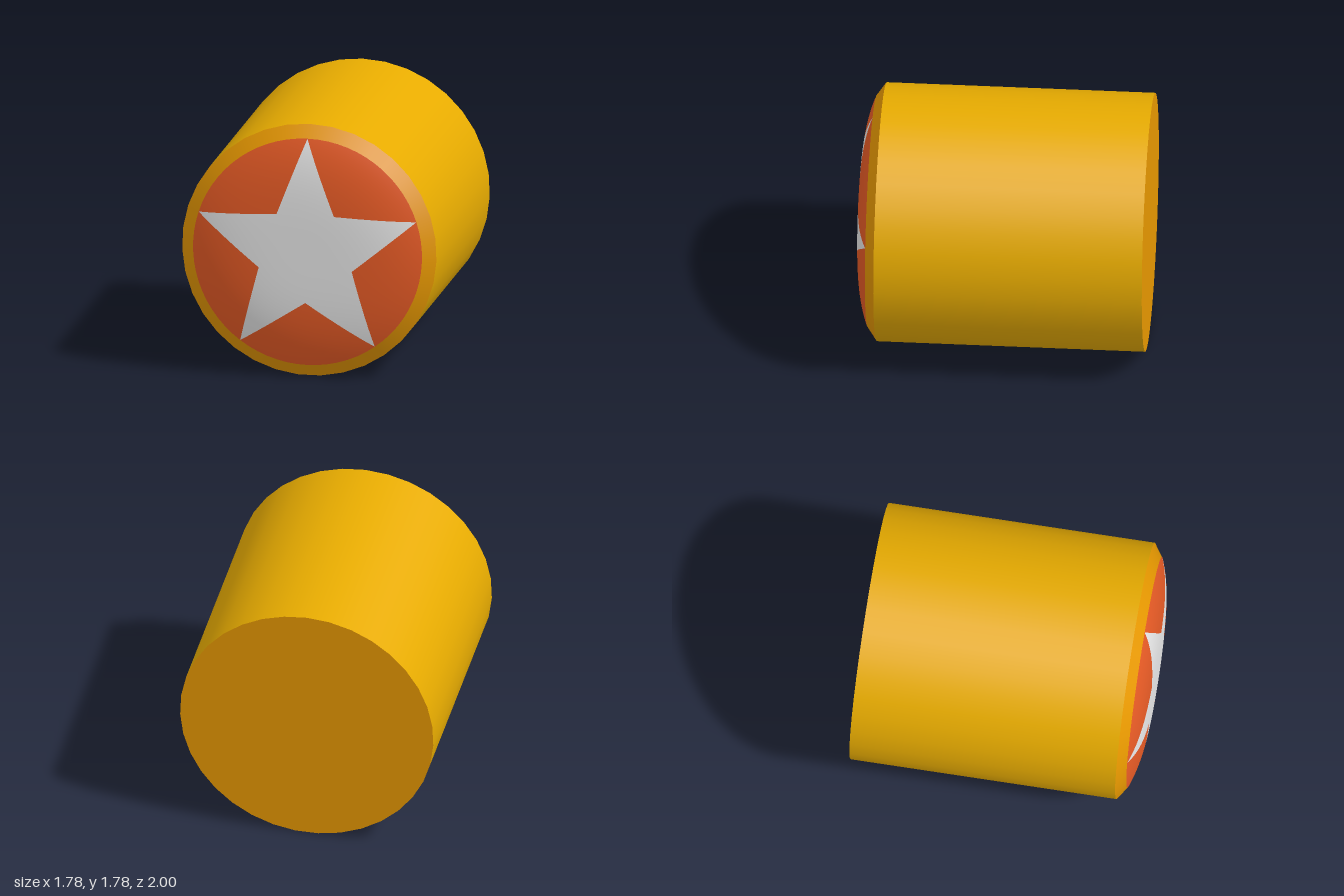
import * as THREE from 'three';

const SIDES = 35, RADIUS = 0.8925, CENTRE_Y = 0.891;
const DOME_R = 0.803, INNER_R = 0.343, STEP = Math.PI / 5;

const mat = (name, color) => {
  const m = new THREE.MeshStandardMaterial({ color });
  m.name = name;
  return m;
};

// Shallow dome: height and slope at distance r from the axis
const domeZ = (r) => 1 - 0.085 * Math.pow(r / 0.8, 3.7);
const domeSlope = (r) => (0.085 * 3.7 / 0.8) * Math.pow(r / 0.8, 2.7);

// Patch of the dome; rows run inwards, each { r, from, to } with angles in radians
function domePatch(rows, cols) {
  const pos = [], nor = [], idx = [];
  const n = new THREE.Vector3();
  rows.forEach(({ r, from, to }, i) => {
    for (let j = 0; j <= cols; j++) {
      const a = from + (to - from) * j / cols;
      const c = Math.cos(a), s = Math.sin(a);
      pos.push(r * c, r * s, domeZ(r));
      n.set(domeSlope(r) * c, domeSlope(r) * s, 1).normalize();
      nor.push(n.x, n.y, n.z);
      if (i > 0 && j > 0) {
        const q = i * (cols + 1) + j, p = q - cols - 1;
        idx.push(p - 1, p, q, p - 1, q, q - 1);
      }
    }
  });
  const g = new THREE.BufferGeometry();
  g.setAttribute('position', new THREE.Float32BufferAttribute(pos, 3));
  g.setAttribute('normal', new THREE.Float32BufferAttribute(nor, 3));
  g.setIndex(idx);
  return g;
}

export function createModel() {
  const yellow = mat('golden yellow', 0xf0b200);
  const orange = mat('amber orange', 0xf09e00);
  const red = mat('orange red', 0xea5c26);
  const white = mat('star white', 0xebebeb);

  const model = new THREE.Group();
  model.name = 'starCappedCylinder';
  const add = (name, geometry, material, parent = model) => {
    const mesh = new THREE.Mesh(geometry, material);
    mesh.name = name;
    parent.add(mesh);
    return mesh;
  };

  // Open tube along z with a vertex at the top
  const tube = (rFront, rBack, zBack, zFront) =>
    new THREE.CylinderGeometry(rFront, rBack, zFront - zBack, SIDES, 1, true, Math.PI)
      .rotateX(Math.PI / 2).translate(0, CENTRE_Y, (zFront + zBack) / 2);

  add('body', tube(RADIUS, RADIUS, -1, 0.85), yellow);
  add('frontRim', tube(0.8, RADIUS, 0.85, 0.915), orange);
  add('backFace', new THREE.CircleGeometry(RADIUS, SIDES, Math.PI / 2)
    .rotateY(Math.PI).translate(0, CENTRE_Y, -1), orange);

  // Straight star edge from a tip to the neighbouring notch, in polar form
  const edge = [];
  const nx = INNER_R * Math.cos(STEP), ny = INNER_R * Math.sin(STEP);
  for (let i = 0; i <= 16; i++) {
    const t = i / 16;
    const x = DOME_R + (nx - DOME_R) * t, y = ny * t;
    edge.push({ r: Math.hypot(x, y), a: Math.atan2(y, x) });
  }

  const cap = new THREE.Group();
  cap.name = 'domedCap';
  cap.position.y = CENTRE_Y;
  model.add(cap);

  // Star arm with its share of the centre, and the red field beside it
  const armRows = edge.map(({ r, a }) => ({ r, from: -a, to: a }));
  for (let i = 5; i >= 0; i--) armRows.push({ r: INNER_R * i / 6, from: -STEP, to: STEP });
  const armGeometry = domePatch(armRows, 8);
  const fieldGeometry = domePatch(
    edge.map(({ r, a }) => ({ r, from: a, to: 2 * STEP - a })), 14);

  for (let k = 0; k < 5; k++) {
    const turn = Math.PI / 2 + k * 2 * STEP;
    add('starArm' + (k + 1), armGeometry, white, cap).rotation.z = turn;
    add('capField' + (k + 1), fieldGeometry, red, cap).rotation.z = turn;
  }
  return model;
}
